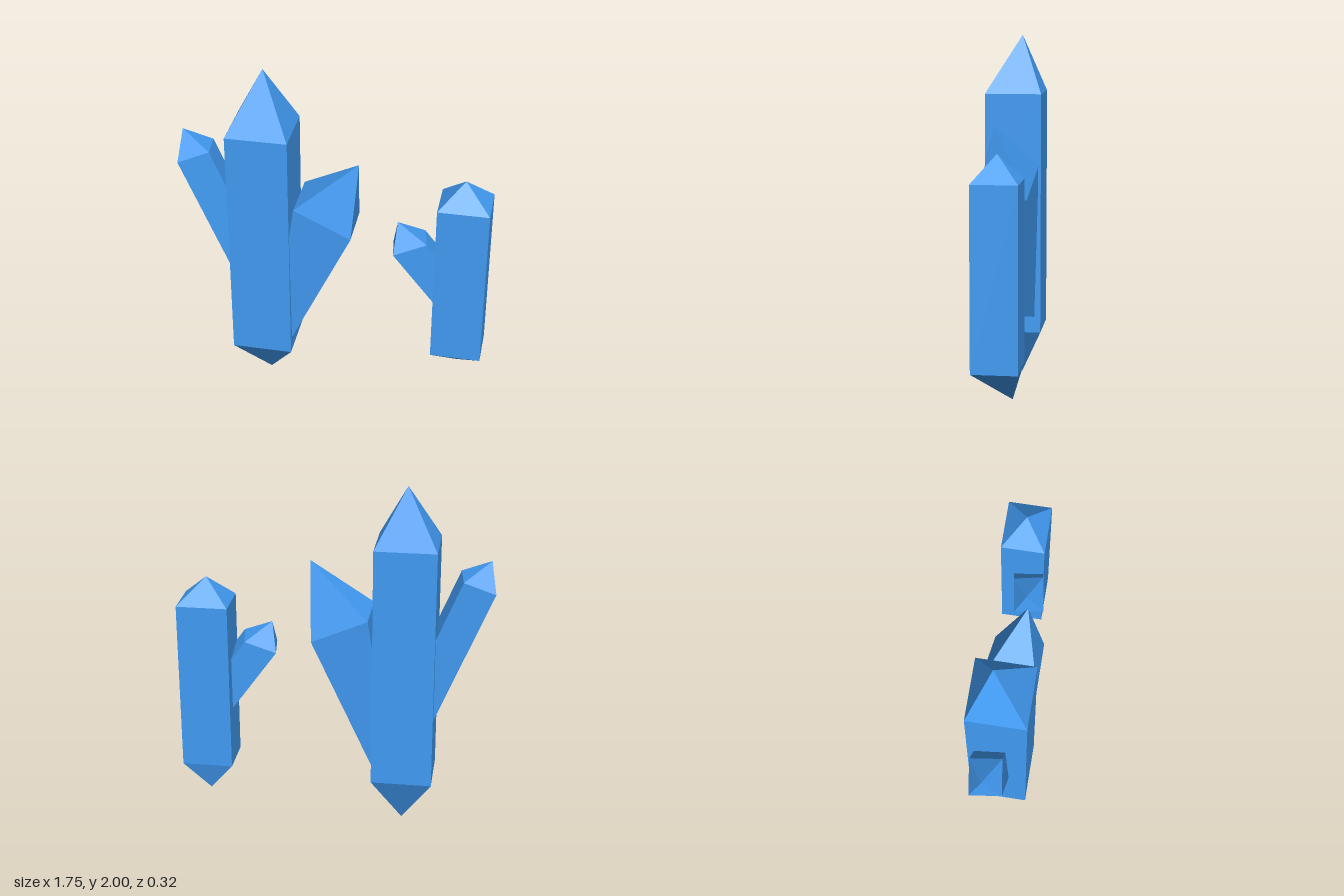
import * as THREE from 'three';

const material = new THREE.MeshStandardMaterial({ color: 0x429cf5, flatShading: true });

// Four-sided crystal: lower ring, upper ring and a point at each end.
// Rings run: right front, right back, left back, left front.
function crystal(name, lower, upper, bottom, top) {
  const positions = [];
  const tri = (a, b, c) => positions.push(...a, ...b, ...c);
  for (let i = 0; i < 4; i++) {
    const j = (i + 1) % 4;
    tri(lower[i], lower[j], upper[j]);
    tri(lower[i], upper[j], upper[i]);
    tri(upper[i], upper[j], top);
    tri(lower[j], lower[i], bottom);
  }
  const geometry = new THREE.BufferGeometry();
  geometry.setAttribute('position', new THREE.Float32BufferAttribute(positions, 3));
  geometry.computeVertexNormals();
  const mesh = new THREE.Mesh(geometry, material);
  mesh.name = name;
  return mesh;
}

const ring = (x0, x1, z0, z1, y) => [[x1, y, z1], [x1, y, z0], [x0, y, z0], [x0, y, z1]];
const shift = (points, d) => points.map((p) => p.map((v, k) => v + d[k]));
const centre = (points) => [0, 1, 2].map((k) => points.reduce((s, p) => s + p[k], 0) / points.length);

// Slanted shard whose flat root is buried in a larger crystal
function shard(name, upper, top, root) {
  const lower = shift(upper, root);
  return crystal(name, lower, upper, centre(lower), top);
}

export function createModel() {
  const group = new THREE.Group();
  group.name = 'crystalCluster';

  // Upright crystals, pointed at both ends
  group.add(crystal('tallCrystal',
    ring(-0.56, -0.217, -0.16, 0.163, 0.28), ring(-0.56, -0.217, -0.16, 0.163, 1.67),
    [-0.385, 0, -0.035], [-0.387, 2, -0.035]));
  group.add(crystal('shortCrystal',
    ring(0.587, 0.873, -0.16, 0.086, 0.323), ring(0.587, 0.873, -0.16, 0.086, 1.297),
    [0.722, 0.157, -0.115], [0.725, 1.437, -0.035]));

  // Wide shard, tapering down into the side of the tall crystal
  const wideRoot = [[-0.213, 0.375, 0.132], [-0.213, 0.375, -0.125], [-0.31, 0.43, -0.125], [-0.31, 0.43, 0.132]];
  group.add(crystal('wideShard', wideRoot,
    [[0.128, 1.105, 0.157], [0.128, 1.11, -0.118], [-0.19, 1.26, -0.148], [-0.19, 1.26, 0.16]],
    centre(wideRoot), [0.154, 1.527, 0.058]));

  // Slim shards leaning out to the other side
  group.add(shard('tallCrystalShard',
    [[-0.68, 1.51, 0.055], [-0.70, 1.5, -0.115], [-0.875, 1.43, -0.09], [-0.855, 1.44, 0.08]],
    [-0.845, 1.6, -0.025], [0.4, -0.965, -0.02]));
  group.add(shard('shortCrystalShard',
    [[0.54, 1.08, 0.09], [0.51, 1.07, -0.075], [0.338, 1, -0.045], [0.36, 1.01, 0.12]],
    [0.368, 1.167, 0.02], [0.3, -0.41, -0.045]));

  return group;
}
